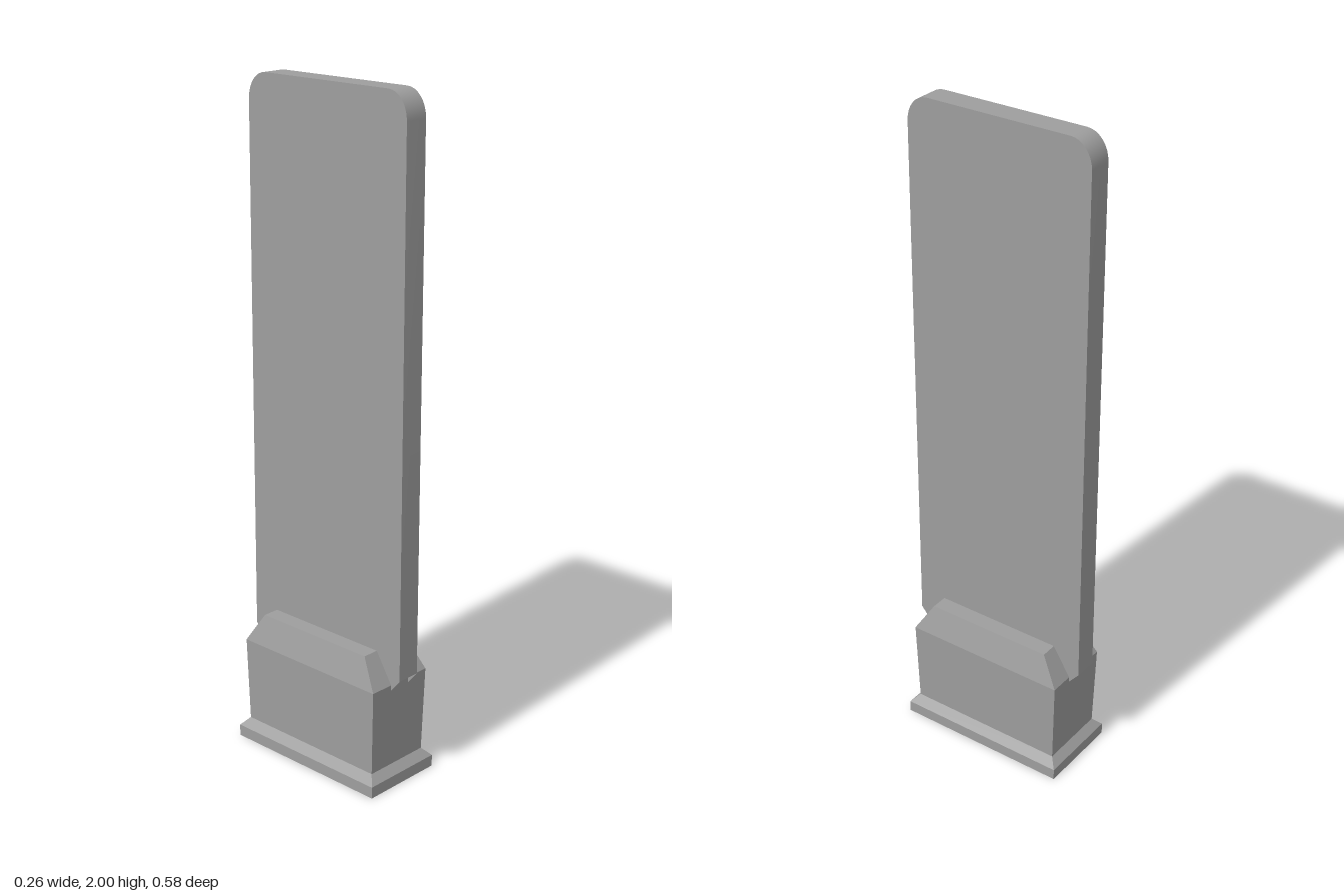
import * as THREE from 'three';
import { toCreasedNormals } from 'three/addons/utils/BufferGeometryUtils.js';

const material = new THREE.MeshStandardMaterial({ color: 0x9e9e9e, side: THREE.DoubleSide });

// Triangle soup from quads, corners counter-clockwise seen from outside
function quadGeometry(quads) {
  const positions = [];
  for (const [a, b, c, d] of quads) positions.push(...a, ...b, ...c, ...a, ...c, ...d);
  const geometry = new THREE.BufferGeometry();
  geometry.setAttribute('position', new THREE.Float32BufferAttribute(positions, 3));
  return geometry;
}

function addMesh(group, name, geometry) {
  const mesh = new THREE.Mesh(geometry, material);
  mesh.name = name;
  group.add(mesh);
}

// Rectangular loop of corners at height y
const ring = (y, x, z) => [[x, y, z], [x, y, -z], [-x, y, -z], [-x, y, z]];

export function createModel() {
  const model = new THREE.Group();
  model.name = 'magazine';

  // Hollow base shell, open underneath: plinth, tapered wall, bevelled top
  const rings = [
    ring(0, 0.131, 0.273),
    ring(0.035, 0.131, 0.273),
    ring(0.06, 0.107, 0.25),
    ring(0.32, 0.112, 0.258),
    ring(0.41, 0.088, 0.202),
  ];
  const quads = [];
  for (let i = 0; i < rings.length - 1; i++) {
    for (let k = 0; k < 4; k++) {
      const n = (k + 1) % 4;
      quads.push([rings[i][k], rings[i][n], rings[i + 1][n], rings[i + 1][k]]);
    }
  }
  quads.push(rings[rings.length - 1]);
  const base = quadGeometry(quads);
  base.computeVertexNormals();
  addMesh(model, 'base', base);

  // Blade outline in (z, y): rounded top, lower corners cut back to the base
  const halfWidth = 0.29, halfThickness = 0.037, bottom = 0.342;
  const radiusZ = 0.065, radiusY = 0.077;
  const rim = [[halfWidth, bottom]];
  for (const side of [1, -1]) {
    for (let i = 0; i <= 8; i++) {
      const angle = (side > 0 ? i : 8 + i) * Math.PI / 16;
      rim.push([
        side * (halfWidth - radiusZ) + radiusZ * Math.cos(angle),
        2 - radiusY + radiusY * Math.sin(angle),
      ]);
    }
  }
  rim.push([-halfWidth, bottom]);

  // Edge band, open along the bottom
  const band = [];
  for (let i = 0; i < rim.length - 1; i++) {
    const [z0, y0] = rim[i], [z1, y1] = rim[i + 1];
    band.push([
      [-halfThickness, y0, z0], [halfThickness, y0, z0],
      [halfThickness, y1, z1], [-halfThickness, y1, z1],
    ]);
  }
  addMesh(model, 'bladeEdge', toCreasedNormals(quadGeometry(band), 0.5));

  // Flat blade faces, following the bevel of the base at the bottom
  const outline = [...rim, [-0.257, 0.302], [-0.258, 0.32], [-0.202, 0.41],
    [0.202, 0.41], [0.258, 0.32], [0.257, 0.302]];
  const shape = new THREE.Shape(outline.map(([z, y]) => new THREE.Vector2(z, y)));
  for (const side of [1, -1]) {
    // Mirrored outline is symmetric, so one turn each way faces both outward
    const face = new THREE.ShapeGeometry(shape);
    face.rotateY(side * Math.PI / 2);
    face.translate(side * halfThickness, 0, 0);
    addMesh(model, side > 0 ? 'bladeLeftFace' : 'bladeRightFace', face);
  }

  return model;
}
